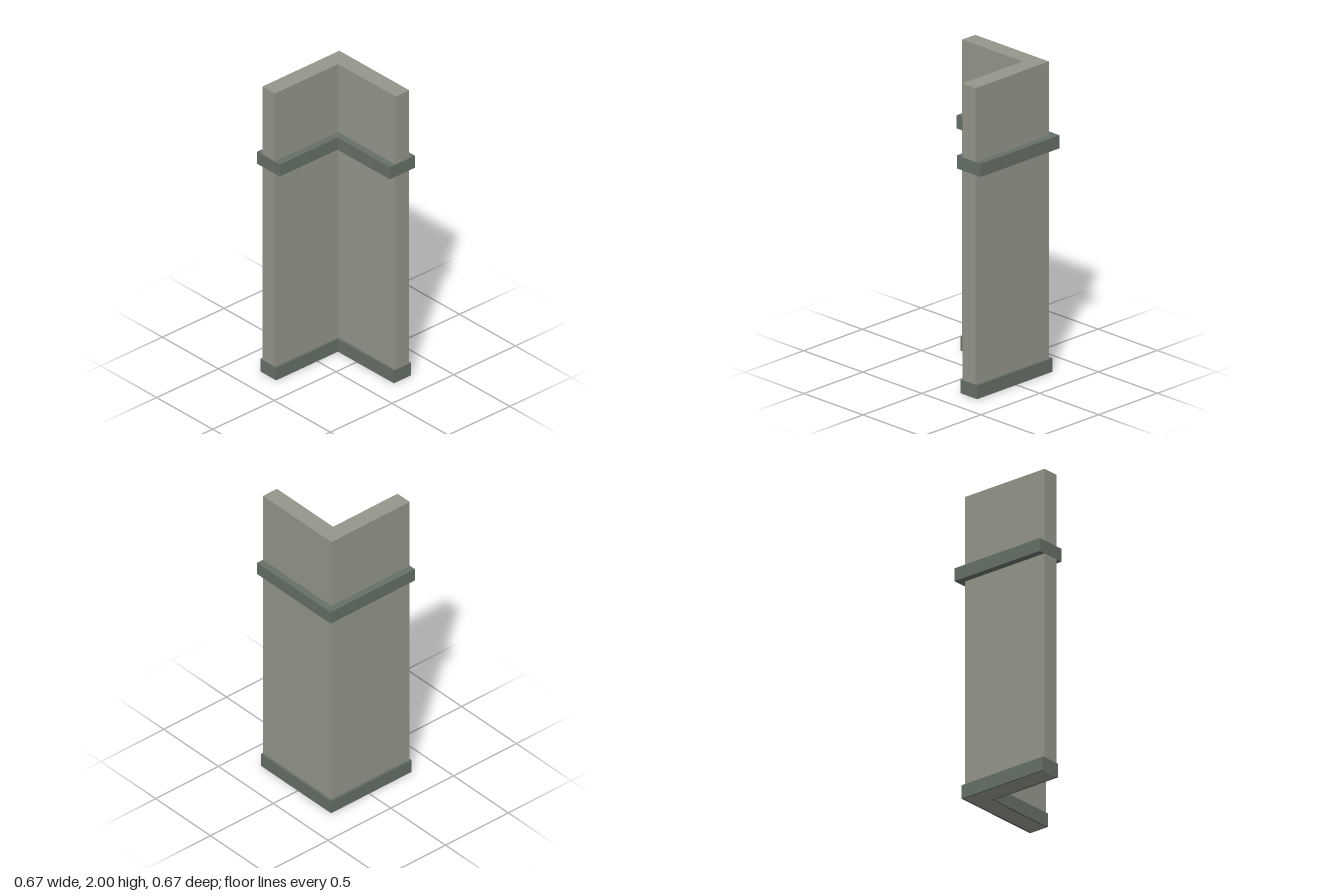
import * as THREE from 'three';

const wallGrey = new THREE.MeshStandardMaterial({ color: 0x95978b });
wallGrey.name = 'wallGrey';
const trimGrey = new THREE.MeshStandardMaterial({ color: 0x667068 });
trimGrey.name = 'trimGrey';

// L-shaped prism: the corner is at -x, -z and the two wings run to +x and +z
function cornerPrism(name, outer, inner, end, bottom, top, material) {
  const plan = [
    [outer, outer], [end, outer], [end, inner],
    [inner, inner], [inner, end], [outer, end],
  ].map(([x, z]) => new THREE.Vector2(x, -z));
  const geometry = new THREE.ExtrudeGeometry(new THREE.Shape(plan), {
    depth: top - bottom, bevelEnabled: false,
  });
  geometry.rotateX(-Math.PI / 2);
  geometry.translate(0, bottom, 0);
  const mesh = new THREE.Mesh(geometry, material);
  mesh.name = name;
  return mesh;
}

export function createModel() {
  const group = new THREE.Group();
  group.name = 'wallCorner';
  // Trim stands a hair proud of the wall ends, and the wall's foot shows below the skirting
  group.add(
    cornerPrism('wall', -0.29, -0.179, 0.334, 0, 2, wallGrey),
    cornerPrism('skirting', -0.305, -0.165, 0.335, 0.001, 0.09, trimGrey),
    cornerPrism('rail', -0.335, -0.133, 0.335, 1.44, 1.525, trimGrey),
  );
  return group;
}
